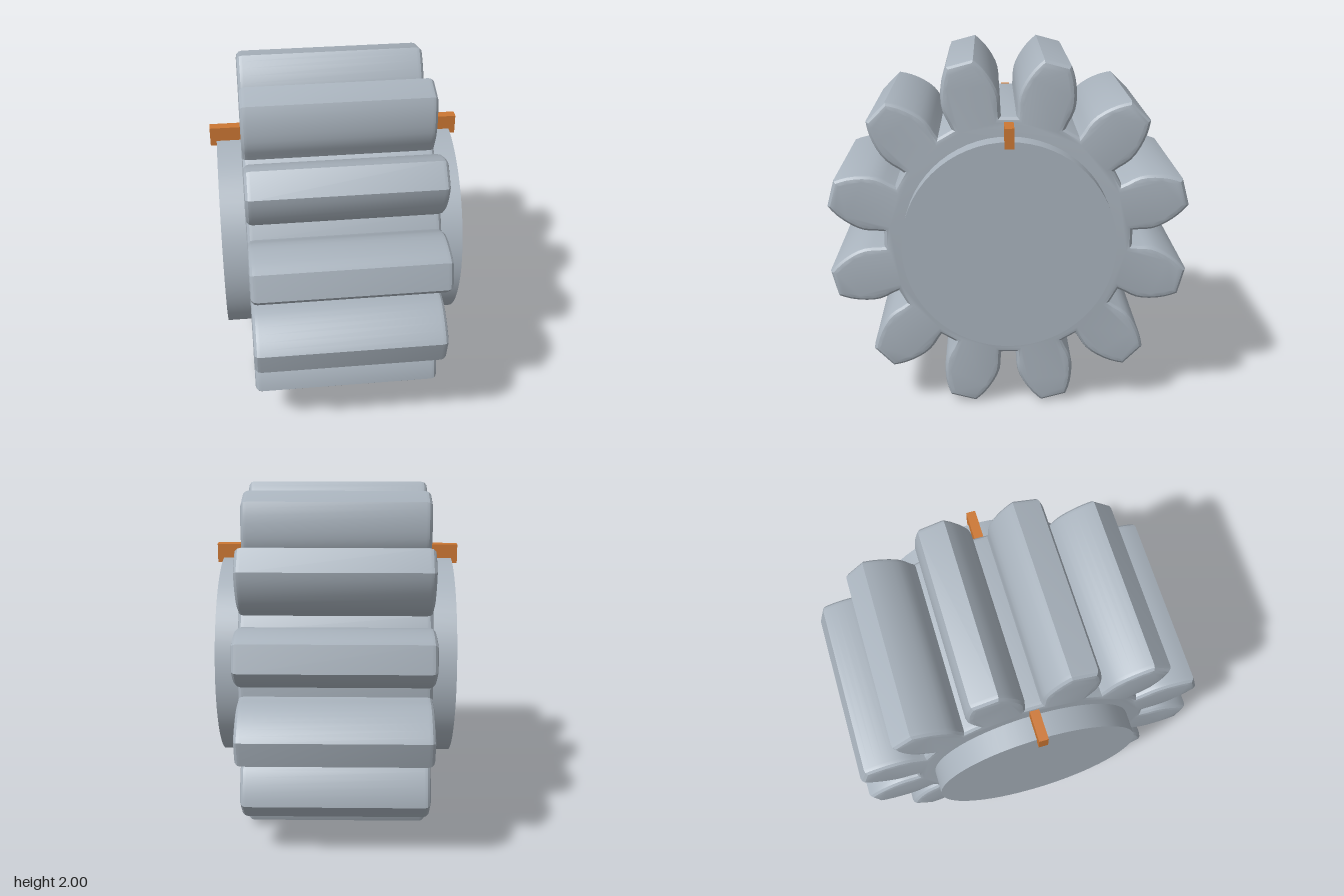
import * as THREE from 'three';
import { toCreasedNormals } from 'three/addons/utils/BufferGeometryUtils.js';

const TEETH = 12;
const HALF_WIDTH = 0.53;
const BEVEL = 0.035;

// Half of one tooth: [distance from axle, half thickness], root to tip
const FLANK = [
  [0.68, 0.139], [0.715, 0.145], [0.75, 0.154], [0.79, 0.159], [0.83, 0.156],
  [0.87, 0.147], [0.91, 0.134], [0.95, 0.117], [0.985, 0.097], [1.015, 0.076],
];

function gearShape() {
  const tooth = [
    ...FLANK.map(([r, w]) => new THREE.Vector2(r, -w)),
    ...[...FLANK].reverse().map(([r, w]) => new THREE.Vector2(r, w)),
  ];
  const origin = new THREE.Vector2();
  const points = [];
  for (let i = 0; i < TEETH; i++) {
    const angle = ((i + 0.5) / TEETH) * Math.PI * 2;
    for (const p of tooth) points.push(p.clone().rotateAround(origin, angle));
  }
  return new THREE.Shape(points);
}

export function createModel() {
  const steel = new THREE.MeshStandardMaterial({ color: 0xa9b3bd });
  steel.name = 'steel grey';
  const copper = new THREE.MeshStandardMaterial({ color: 0xcc7733 });
  copper.name = 'copper orange';

  const model = new THREE.Group();
  model.name = 'pinionGear';
  const add = (name, geometry, material, x, y) => {
    const mesh = new THREE.Mesh(geometry, material);
    mesh.name = name;
    mesh.position.set(x, y, 0);
    model.add(mesh);
  };

  // Toothed body with rounded end edges, axle along x
  const depth = 2 * (HALF_WIDTH - BEVEL);
  const body = new THREE.ExtrudeGeometry(gearShape(), {
    depth, bevelEnabled: true, bevelThickness: BEVEL,
    bevelSize: BEVEL, bevelOffset: -BEVEL, bevelSegments: 3,
  });
  body.translate(0, 0, -depth / 2).rotateY(Math.PI / 2);
  add('toothedBody', toCreasedNormals(body, 0.5), steel, 0, 1);

  // Round hub and its small marker block on each end
  for (const side of [1, -1]) {
    const prefix = side > 0 ? 'left' : 'right';
    const hub = new THREE.CylinderGeometry(0.585, 0.585, 0.165, 64).rotateZ(Math.PI / 2);
    add(`${prefix}Hub`, hub, steel, side * 0.5825, 1);
    add(`${prefix}Marker`, new THREE.BoxGeometry(0.2, 0.11, 0.052), copper, side * 0.6, 1.61);
  }
  return model;
}
